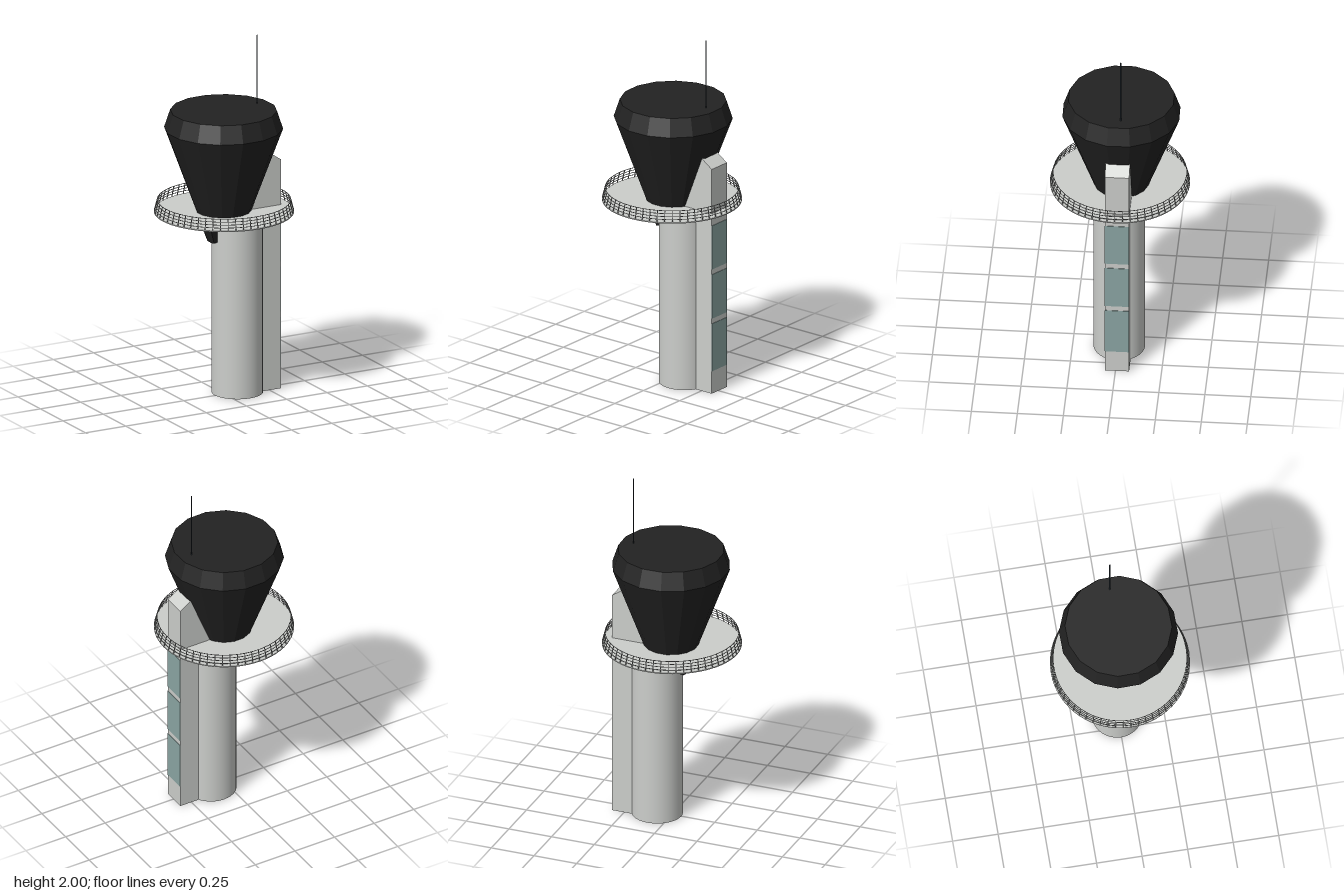
import * as THREE from 'three';
import { ConvexGeometry } from 'three/addons/geometries/ConvexGeometry.js';

const DEG = Math.PI / 180;

export function createModel() {
  const model = new THREE.Group();

  const mat = (name, color, extra = {}) => {
    const m = new THREE.MeshStandardMaterial({ color, ...extra });
    m.name = name;
    return m;
  };
  const concrete = mat('concrete', 0xcccecb, { side: THREE.DoubleSide });
  const darkGlass = mat('dark glass', 0x222222, { flatShading: true });
  const windowGlass = mat('window glass', 0x8ba5a3);
  const railMetal = mat('rail metal', 0x949694);
  const mastMetal = mat('mast metal', 0x2a343c);

  const add = (name, geometry, material, x = 0, y = 0, z = 0, parent = model) => {
    const mesh = new THREE.Mesh(geometry, material);
    mesh.name = name;
    mesh.position.set(x, y, z);
    parent.add(mesh);
    return mesh;
  };

  // Round column, open at the foot
  add('column', new THREE.CylinderGeometry(0.14, 0.14, 1.04, 32, 1, true), concrete, 0.085, 0.52, -0.003);

  // Stair shaft with a sloping top, running up through the deck into the cabin
  const profile = new THREE.Shape([
    [0.2, 0], [0.32, 0], [0.32, 1.3], [0.2, 1.383], [0.12, 1.2], [0.12, 1.04], [0.2, 1.04],
  ].map(([x, y]) => new THREE.Vector2(x, y)));
  add('stairShaft', new THREE.ExtrudeGeometry(profile, { depth: 0.132, bevelEnabled: false }), concrete, 0, 0, -0.074);

  // Three tall windows on the outer face of the shaft
  [[0.13, 0.405], [0.435, 0.69], [0.72, 0.973]].forEach(([low, high], i) => {
    add('shaftWindow' + (i + 1), new THREE.BoxGeometry(0.004, high - low, 0.132), windowGlass,
      0.3205, (low + high) / 2, -0.008);
  });

  // Walkway deck
  add('deck', new THREE.CylinderGeometry(0.38, 0.38, 0.006, 64), concrete, 0, 1.04, 0);

  // Railing leaning inward: rings joined by posts
  const railing = new THREE.Group();
  railing.name = 'railing';
  model.add(railing);
  const base = { r: 0.378, y: 1.043 }, top = { r: 0.362, y: 1.105 };
  for (let i = 1; i <= 4; i++) {
    const t = i / 4;
    const ring = new THREE.TorusGeometry(THREE.MathUtils.lerp(base.r, top.r, t), 0.002, 5, 64);
    ring.rotateX(Math.PI / 2);
    add('rail' + i, ring, railMetal, 0, THREE.MathUtils.lerp(base.y, top.y, t), 0, railing);
  }
  const posts = 56;
  const lean = Math.atan2(base.r - top.r, top.y - base.y);
  const postGeometry = new THREE.BoxGeometry(0.004, Math.hypot(base.r - top.r, top.y - base.y), 0.004);
  postGeometry.rotateZ(lean);
  for (let i = 0; i < posts; i++) {
    const a = (i / posts) * Math.PI * 2;
    const r = (base.r + top.r) / 2;
    const post = add('post', postGeometry, railMetal, r * Math.cos(a), (base.y + top.y) / 2, -r * Math.sin(a), railing);
    post.rotation.y = a;
  }

  // Sixteen-sided flared cabin with a bevelled roof edge
  const cabin = [[0, 1.042], [0.15, 1.042], [0.323, 1.51], [0.29, 1.61], [0, 1.61]]
    .map(([r, y]) => new THREE.Vector2(r, y));
  add('cabin', new THREE.LatheGeometry(cabin, 16, 12.5 * DEG), darkGlass, 0.002, 0, -0.008);

  // Wedge of the cabin cone continuing below the deck beside the column
  const wedge = [];
  for (const [r, y] of [[0.15, 1.04], [0.09, 0.875]]) {
    wedge.push(new THREE.Vector3(0, y, 0));
    for (const a of [154, 167.5, 190, 204]) {
      wedge.push(new THREE.Vector3(r * Math.cos(a * DEG), y, r * Math.sin(a * DEG)));
    }
  }
  add('cabinBracket', new ConvexGeometry(wedge), darkGlass, 0, 0, -0.004);

  // Antenna mast on the roof
  add('mast', new THREE.CylinderGeometry(0.003, 0.003, 0.4, 8), mastMetal, 0.218, 1.8, -0.021);

  return model;
}
